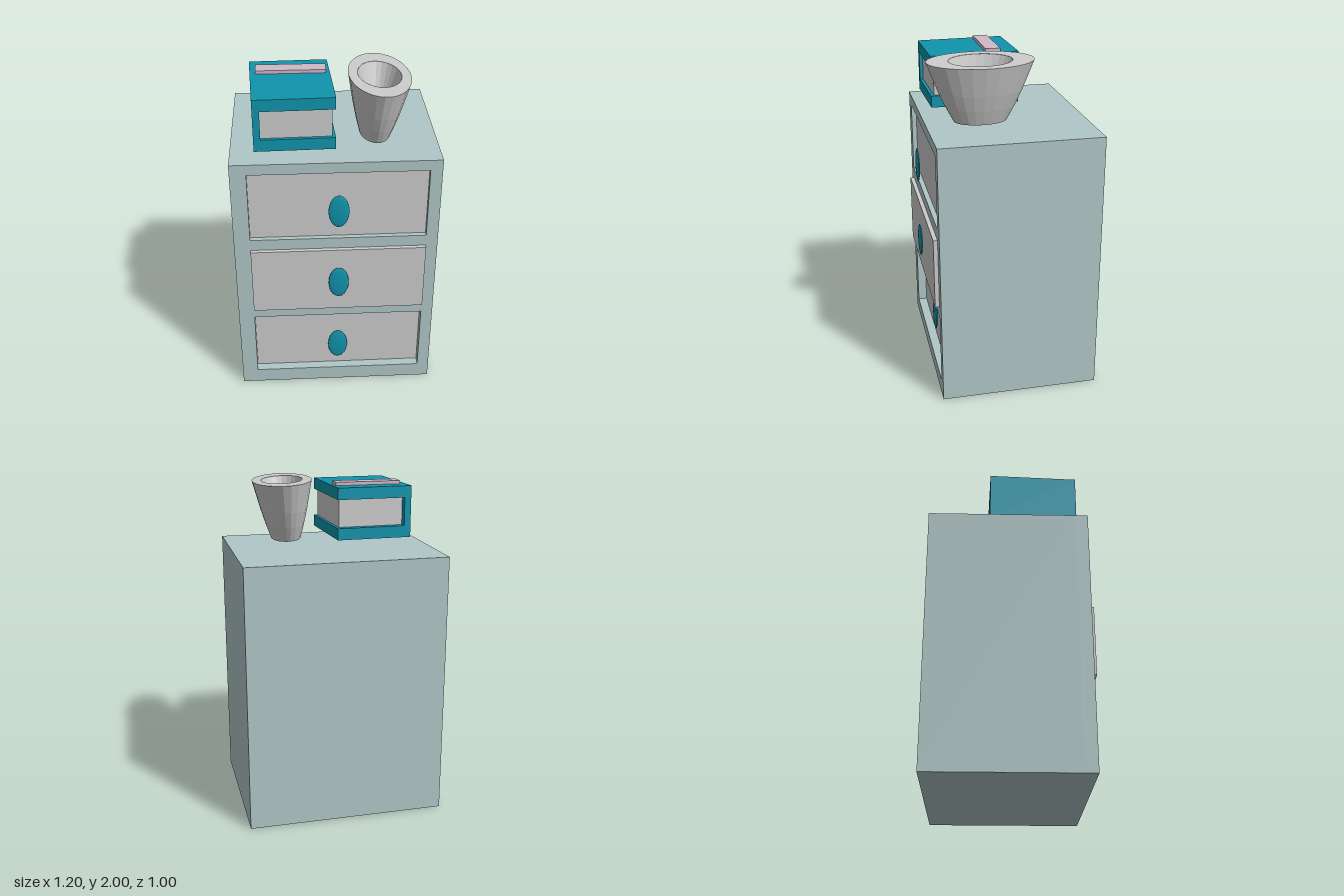
import * as THREE from 'three';

const paint = (color, extra = {}) => new THREE.MeshStandardMaterial({ color, ...extra });
const grey = paint(0xcccccc);
const greyFlat = paint(0xcccccc, { flatShading: true });
const greyInner = paint(0xcccccc, { flatShading: true, side: THREE.DoubleSide });
const sage = paint(0xb0c6c6);
const teal = paint(0x1094ac);
const pink = paint(0xd0b8c8);

function add(parent, name, geometry, material) {
  const mesh = new THREE.Mesh(geometry, material);
  mesh.name = name;
  parent.add(mesh);
  return mesh;
}

// Box given by its lower and upper corners
function boxBetween([x0, y0, z0], [x1, y1, z1]) {
  return new THREE.BoxGeometry(x1 - x0, y1 - y0, z1 - z0)
    .translate((x0 + x1) / 2, (y0 + y1) / 2, (z0 + z1) / 2);
}

function polygon(points) {
  return points.map(([x, y]) => new THREE.Vector2(x, y));
}

const rect = (x0, y0, x1, y1) => polygon([[x0, y0], [x1, y0], [x1, y1], [x0, y1]]);

function createCabinet() {
  const cabinet = new THREE.Group();
  cabinet.name = 'cabinet';
  const left = -0.505, right = 0.525, frameBack = 0.38, frameFront = 0.455;
  const drawers = [
    { name: 'top', y0: 1.1, y1: 1.535, front: 0.425, knobY: 1.305, knobZ: 0.49 },
    { name: 'middle', y0: 0.6, y1: 1.03, front: 0.48, knobY: 0.805, knobZ: 0.49 },
    { name: 'bottom', y0: 0.095, y1: 0.53, front: 0.4, knobY: 0.255, knobZ: 0.41 },
  ];

  // Carcass and front frame with an opening per drawer
  add(cabinet, 'carcass', boxBetween([-0.6, 0, -0.5], [0.595, 1.6, frameBack]), sage);
  const face = new THREE.Shape(rect(-0.6, 0, 0.595, 1.6));
  for (const d of drawers) face.holes.push(new THREE.Path(rect(left, d.y0, right, d.y1)));
  const frame = new THREE.ExtrudeGeometry(face, { depth: frameFront - frameBack, bevelEnabled: false });
  add(cabinet, 'frontFrame', frame.translate(0, 0, frameBack), sage);

  // Drawer fronts and flattened oval knobs
  for (const d of drawers) {
    add(cabinet, d.name + 'Drawer', boxBetween([left, d.y0, frameBack], [right, d.y1, d.front]), grey);
    const knob = add(cabinet, d.name + 'Knob', new THREE.SphereGeometry(1, 32, 16), teal);
    knob.scale.set(0.06, 0.105, 0.0115);
    knob.position.set(0.01, d.knobY, d.knobZ);
  }
  return cabinet;
}

function createBook() {
  const book = new THREE.Group();
  book.name = 'book';
  // Slightly turned and skewed on the cabinet top
  const skew = new THREE.Matrix4().set(
    1, 0, 0.047, -0.2425,
    0, 1, 0, 1.655,
    -0.024, 0, 1, 0.13,
    0, 0, 0, 1);

  // C-shaped cover: spine on -x, open towards +x
  const cover = new THREE.Shape(polygon([
    [-0.228, 0], [0.228, 0], [0.228, 0.07], [-0.188, 0.07],
    [-0.188, 0.24], [0.228, 0.24], [0.228, 0.31], [-0.228, 0.31],
  ]));
  const coverGeometry = new THREE.ExtrudeGeometry(cover, { depth: 0.536, bevelEnabled: false });
  add(book, 'cover', coverGeometry.translate(0, 0, -0.268).applyMatrix4(skew), teal);

  const pages = boxBetween([-0.188, 0.07, -0.224], [0.21, 0.24, 0.248]);
  add(book, 'pages', pages.applyMatrix4(skew), grey);

  add(book, 'titlePanel', boxBetween([-0.442, 1.96, -0.035], [-0.04, 1.985, 0.055]), pink);
  return book;
}

function createCup() {
  const cup = new THREE.Group();
  cup.name = 'cup';
  const sides = 24, height = 0.355;
  const outer = [0.178, 0.31], inner = [0.124, 0.184];

  // Oval tapered wall with a closed foot
  const wall = new THREE.LatheGeometry(
    polygon([[0, 0], [0.5, 0], [0.65, 0.25], [0.79, 0.52], [1, 1]]), sides);
  add(cup, 'wall', wall.scale(outer[0], height, outer[1]), greyFlat);

  // Flat rim between two ovals
  const rim = new THREE.Shape().absellipse(0, 0, ...outer, 0, Math.PI * 2);
  rim.holes.push(new THREE.Path().absellipse(0, 0, ...inner, 0, Math.PI * 2));
  const rimGeometry = new THREE.ShapeGeometry(rim, sides).rotateX(-Math.PI / 2);
  add(cup, 'rim', rimGeometry.translate(0, height, 0), greyFlat);

  // Hollow narrowing to a point
  const hollow = new THREE.LatheGeometry(polygon([[1, 0], [0.6, -0.17], [0, -0.28]]), sides);
  add(cup, 'hollow', hollow.scale(inner[0], 1, inner[1]).translate(0, height, 0), greyInner);

  cup.position.set(0.235, 1.635, 0.145);
  cup.rotation.z = -0.06;
  return cup;
}

export function createModel() {
  const model = new THREE.Group();
  model.name = 'nightstand';
  model.add(createCabinet(), createBook(), createCup());
  return model;
}
